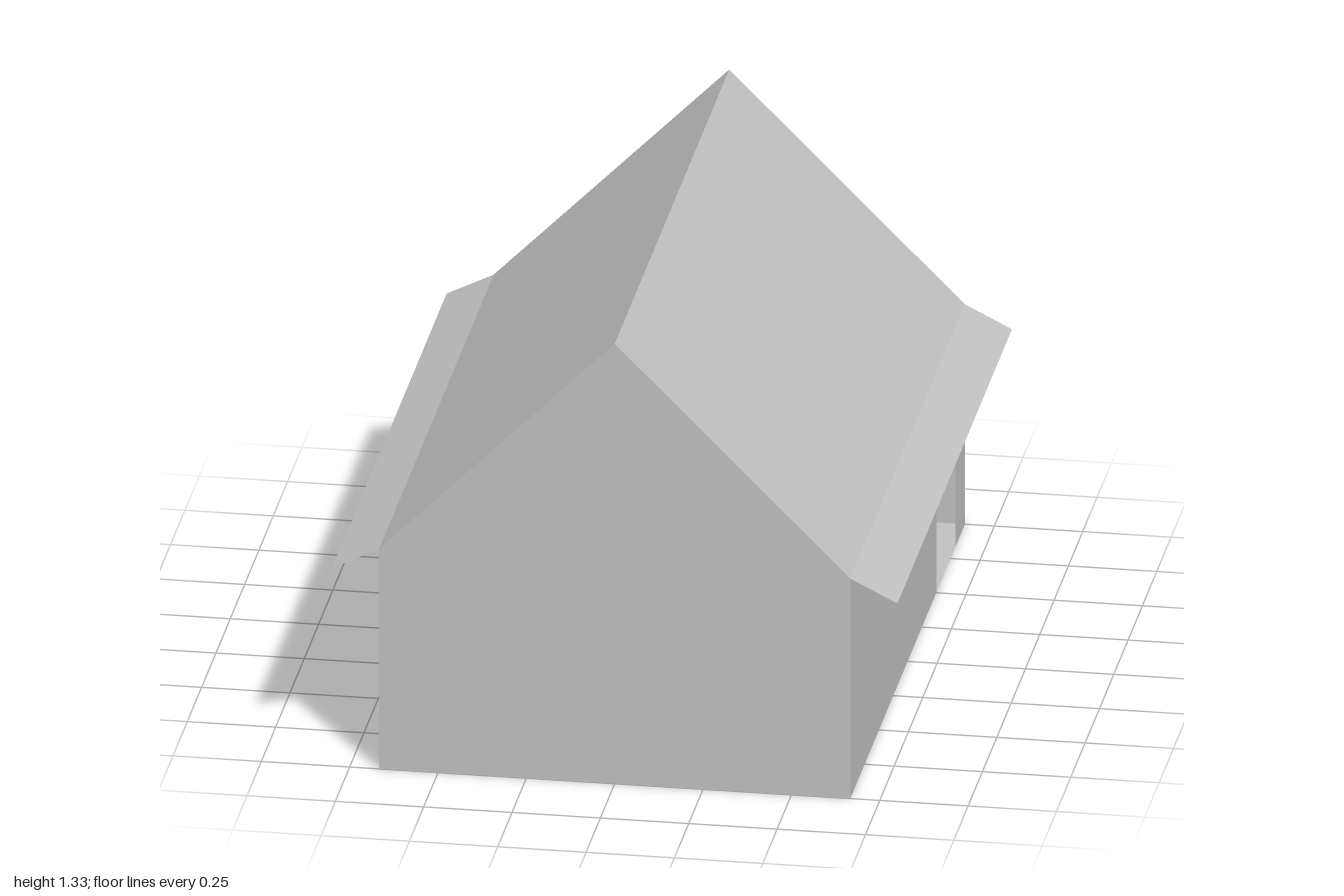
import * as THREE from 'three';

const W = 2 / 3;      // half width, also the wall height
const RIDGE = 4 / 3;  // ridge height
const L = 1;          // half length
const EAVE_X = 0.8, EAVE_Y = 0.6;

export function createModel() {
  const model = new THREE.Group();
  model.name = 'house';
  const grey = new THREE.MeshStandardMaterial({ color: 0xc0c0c0, side: THREE.DoubleSide });
  grey.name = 'plainGrey';

  const add = (name, geometry) => {
    const mesh = new THREE.Mesh(geometry, grey);
    mesh.name = name;
    model.add(mesh);
    return mesh;
  };

  const outline = (points) => new THREE.Shape(points.map(([x, y]) => new THREE.Vector2(x, y)));

  // flat strip running the full length between two points of the cross-section
  const strip = (name, [x0, y0], [x1, y1]) => {
    const g = new THREE.BufferGeometry();
    g.setAttribute('position', new THREE.Float32BufferAttribute(
      [x0, y0, L, x1, y1, L, x1, y1, -L, x0, y0, -L], 3));
    g.setIndex([0, 1, 2, 0, 2, 3]);
    g.computeVertexNormals();
    return add(name, g);
  };

  // floor, wound to face down
  strip('floor', [W, 0], [-W, 0]);

  // gable walls
  const gable = new THREE.ShapeGeometry(outline([[-W, 0], [W, 0], [W, W], [0, RIDGE], [-W, W]]));
  add('frontGable', gable).position.z = L;
  const back = add('backGable', gable);
  back.position.z = -L;
  back.rotation.y = Math.PI;

  // left wall with the doorway cut up from the floor (shape x runs along -z)
  const wall = new THREE.ShapeGeometry(outline([
    [-L, 0], [0.5, 0], [0.5, 0.5], [0.835, 0.5], [0.835, 0], [L, 0], [L, W], [-L, W]]));
  const leftWall = add('leftWallWithDoorway', wall);
  leftWall.rotation.y = Math.PI / 2;
  leftWall.position.x = W;

  // plain right wall
  strip('rightWall', [-W, W], [-W, 0]);

  // roof slopes and flatter eave flaps
  strip('leftRoof', [0, RIDGE], [W, W]);
  strip('rightRoof', [-W, W], [0, RIDGE]);
  strip('leftEave', [W, W], [EAVE_X, EAVE_Y]);
  strip('rightEave', [-EAVE_X, EAVE_Y], [-W, W]);

  return model;
}
